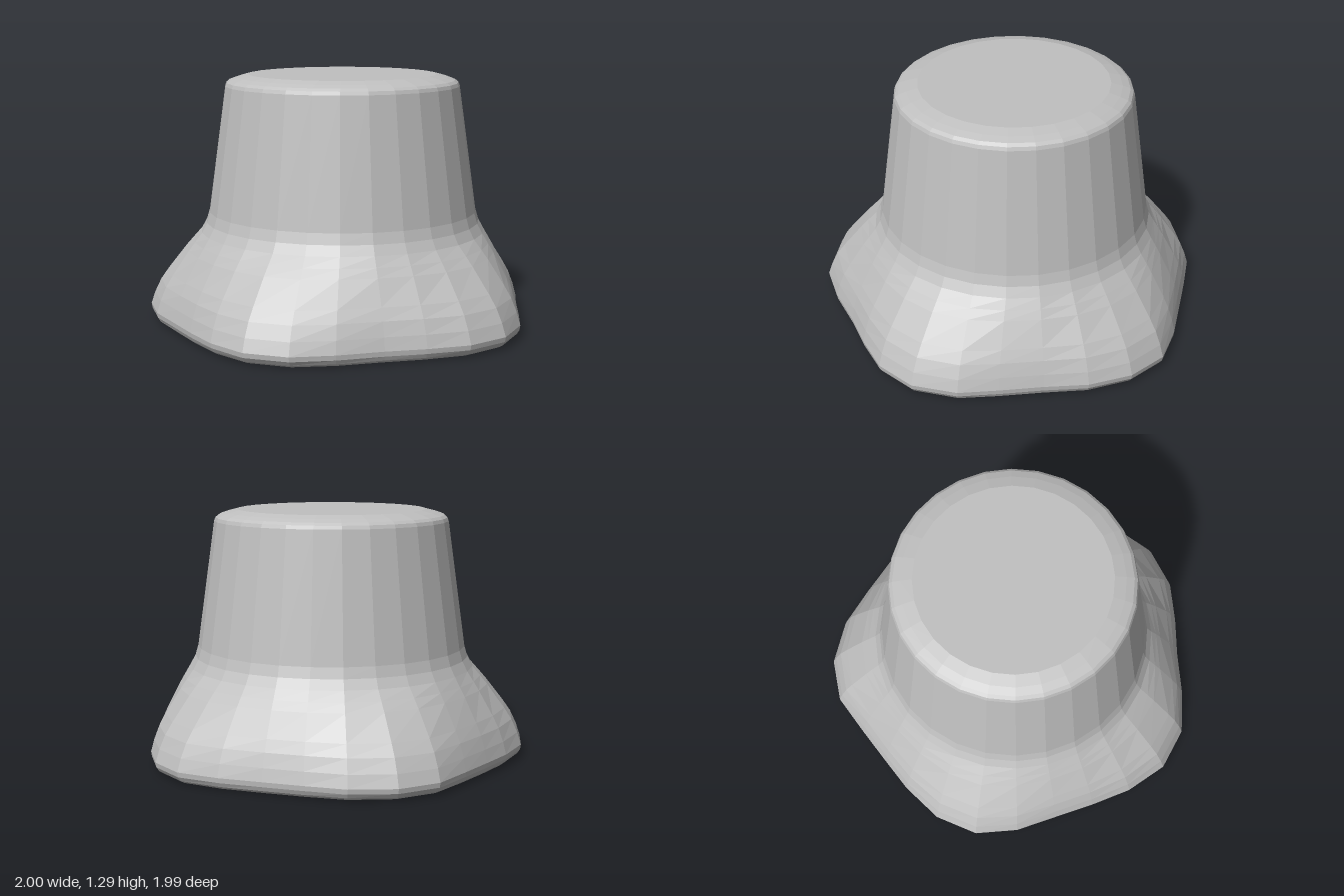
import * as THREE from 'three';

const SIDES = 28;
const CX = -0.015, CZ = 0.02; // axis of the round knob

// Foot outline with five lobes, [x, z], from the back towards +x
const OUTLINE = [
  [-0.01, -1], [0.21, -0.97], [0.41, -0.855], [0.57, -0.7], [0.74, -0.55], [0.89, -0.41], [1, -0.2],
  [1, 0.03], [0.92, 0.235], [0.83, 0.42], [0.74, 0.64], [0.63, 0.83], [0.44, 0.96], [0.21, 0.99],
  [-0.01, 0.97], [-0.22, 0.94], [-0.44, 0.91], [-0.65, 0.825], [-0.8, 0.65], [-0.88, 0.43], [-0.92, 0.235],
  [-0.96, 0.03], [-1, -0.2], [-0.94, -0.42], [-0.785, -0.6], [-0.6, -0.71], [-0.42, -0.81], [-0.22, -0.92],
];

// Cross-sections from top to bottom: [height, round radius, blend to the foot outline]
const KNOB = [
  [1.295, 0.49, 0], [1.28, 0.548, 0], [1.266, 0.588, 0], [1.253, 0.604, 0], [1.235, 0.611, 0],
  [0.585, 0.702, 0], [0.53, 0.718, 0], [0.48, 0.745, 0],
];
const FOOT = [
  [0.48, 0.745, 0], [0.43, 0.745, 0.16], [0.385, 0.745, 0.3], [0.26, 0.745, 0.65], [0.2, 0.745, 0.8],
  [0.13, 0.745, 0.92], [0.065, 0.745, 1], [0.04, 0.745, 0.985], [0.018, 0.745, 0.93],
  [0.005, 0.745, 0.85], [0, 0.745, 0.76],
];

// Skins a stack of cross-sections and closes the top or the bottom
function loft(rings, capTop, capBottom) {
  const pos = [], index = [];
  for (const [y, r, t] of rings) {
    for (let j = 0; j < SIDES; j++) {
      const a = (j / SIDES) * Math.PI * 2;
      const x = CX + r * Math.sin(a), z = CZ - r * Math.cos(a);
      pos.push(x + (OUTLINE[j][0] - x) * t, y, z + (OUTLINE[j][1] - z) * t);
    }
  }
  const last = (rings.length - 1) * SIDES;
  const centre = pos.length / 3;
  pos.push(CX, rings[0][0], CZ, CX, rings[rings.length - 1][0], CZ);
  for (let j = 0; j < SIDES; j++) {
    const k = (j + 1) % SIDES;
    for (let i = 0; i < last; i += SIDES) {
      const a = i + j, b = i + k, c = a + SIDES, d = b + SIDES;
      index.push(a, b, d, a, d, c);
    }
    if (capTop) index.push(centre, k, j);
    if (capBottom) index.push(centre + 1, last + j, last + k);
  }
  const indexed = new THREE.BufferGeometry();
  indexed.setAttribute('position', new THREE.Float32BufferAttribute(pos, 3));
  indexed.setIndex(index);
  const geometry = indexed.toNonIndexed();
  geometry.computeVertexNormals();
  return geometry;
}

export function createModel() {
  const group = new THREE.Group();
  const grey = new THREE.MeshStandardMaterial({ color: 0xc0c0c0, flatShading: true });
  grey.name = 'light grey';

  // Tapered round knob with a bevelled top
  const knob = new THREE.Mesh(loft(KNOB, true, false), grey);
  knob.name = 'knob';

  // Flared foot with a rounded lower edge
  const foot = new THREE.Mesh(loft(FOOT, false, true), grey);
  foot.name = 'flaredFoot';

  group.add(knob, foot);
  return group;
}
